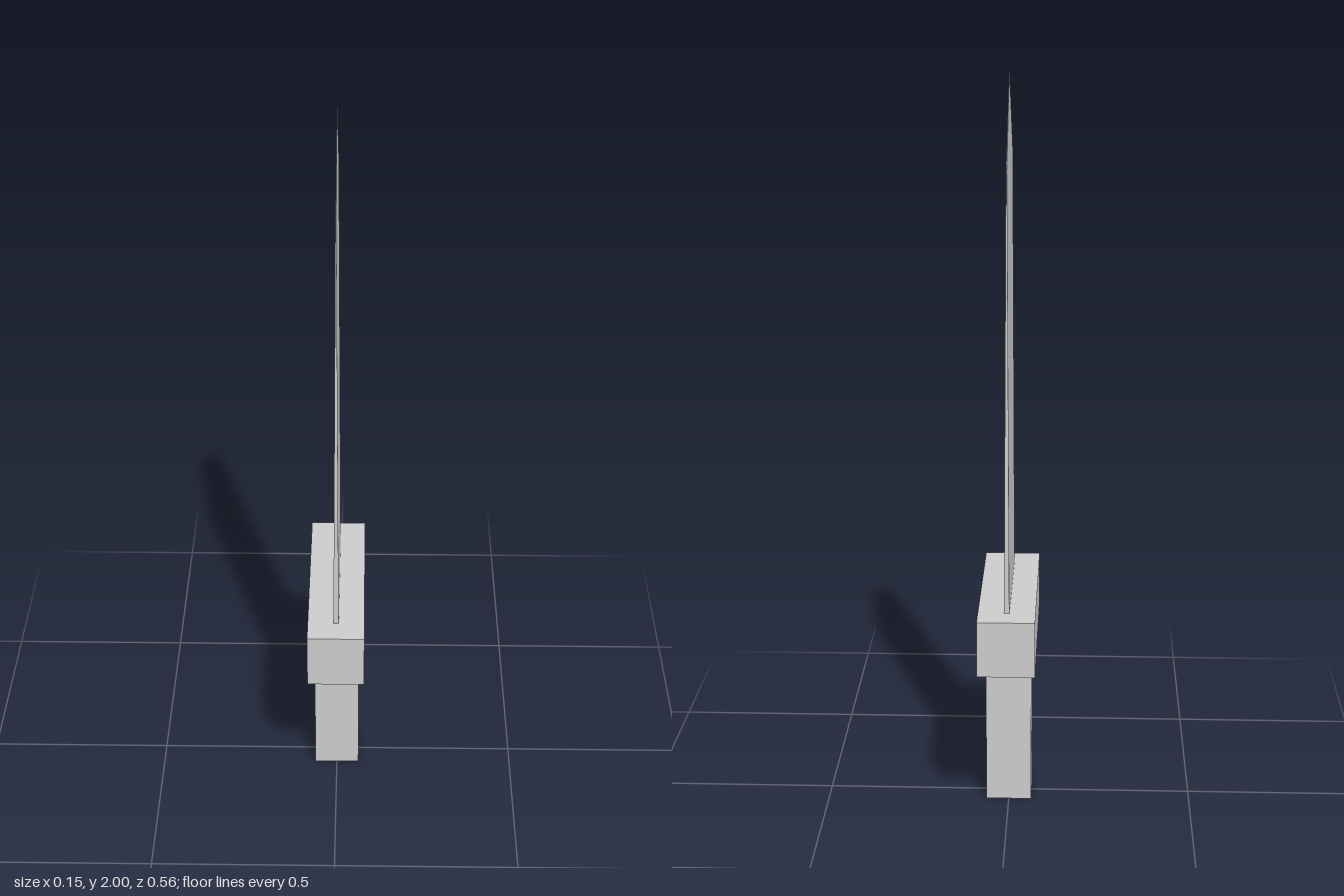
import * as THREE from 'three';

const material = new THREE.MeshStandardMaterial({ color: 0xcccccc, flatShading: true });

function addBox(group, name, width, depth, bottom, top) {
  const mesh = new THREE.Mesh(new THREE.BoxGeometry(width, top - bottom, depth), material);
  mesh.position.y = (bottom + top) / 2;
  mesh.name = name;
  group.add(mesh);
}

// Flat pointed blade whose thickness tapers evenly from the guard to the tip
function createBlade(bottom, shoulder, tip, halfWidth, halfThickness) {
  const outline = new THREE.Shape([
    new THREE.Vector2(-halfWidth, bottom),
    new THREE.Vector2(halfWidth, bottom),
    new THREE.Vector2(halfWidth, shoulder),
    new THREE.Vector2(0, tip),
    new THREE.Vector2(-halfWidth, shoulder),
  ]);
  const geometry = new THREE.ExtrudeGeometry(outline, { depth: 2, bevelEnabled: false });
  geometry.translate(0, 0, -1).rotateY(Math.PI / 2);
  const p = geometry.attributes.position;
  for (let i = 0; i < p.count; i++) {
    const t = (p.getY(i) - bottom) / (tip - bottom);
    p.setX(i, p.getX(i) * THREE.MathUtils.lerp(halfThickness, 0.0003, t));
  }
  geometry.computeVertexNormals();
  const blade = new THREE.Mesh(geometry, material);
  blade.name = 'blade';
  return blade;
}

export function createModel() {
  const sword = new THREE.Group();
  sword.name = 'sword';
  addBox(sword, 'handle', 0.124, 0.124, 0, 0.452);
  addBox(sword, 'crossguard', 0.153, 0.56, 0.452, 0.604);
  sword.add(createBlade(0.604, 1.77, 2, 0.21, 0.007));
  return sword;
}
